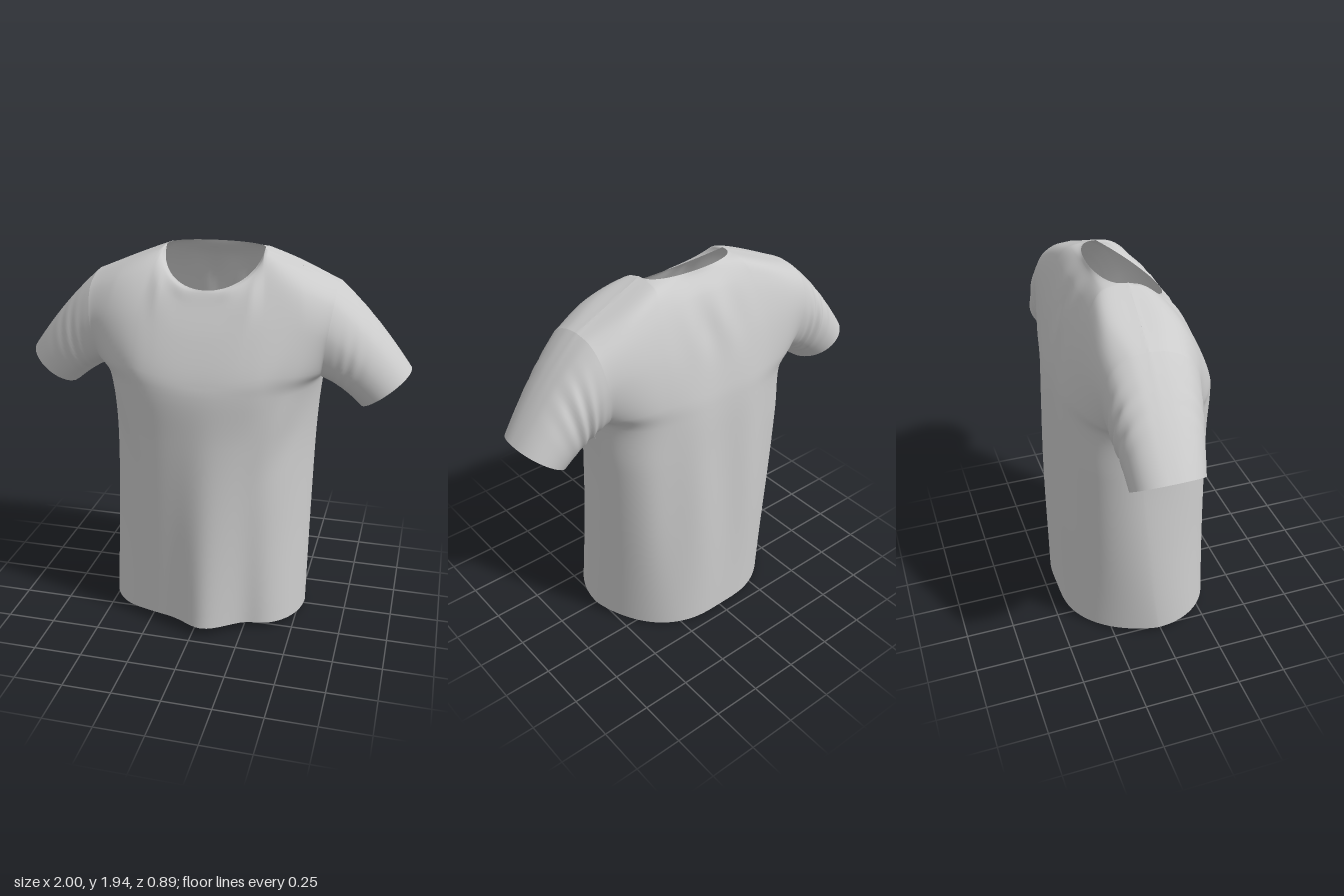
import * as THREE from 'three';
import { mergeGeometries, mergeVertices } from 'three/addons/utils/BufferGeometryUtils.js';

const N = 40;          // columns from centre to side
const STEP = 8;        // rows between two levels
const PIT = 3 * STEP;  // row of the armpit
const TOP = 8 * STEP;  // row of the shoulder seam and neckline
const NECK = 0.4;      // share of the columns that end at the neckline
const lerp = THREE.MathUtils.lerp;
const bump = (x, c, w) => Math.exp(-(((x - c) / w) ** 2));

// piecewise linear lookup in [key, value] pairs
function lookup(table, k) {
  for (let i = 1; i < table.length; i++) {
    const [a, va] = table[i - 1], [b, vb] = table[i];
    if (k <= b) return lerp(va, vb, Math.max(0, (k - a) / (b - a)));
  }
  return table[table.length - 1][1];
}

// depth of the centre line by height
const FRONT = [[0, 0.365], [1.3, 0.36], [1.42, 0.335], [1.6, 0.25], [1.78, 0.15], [1.9, 0.01], [1.95, -0.06]];
const BACK = [[0, -0.44], [0.8, -0.435], [1.3, -0.42], [1.5, -0.4], [1.7, -0.345], [1.85, -0.28], [1.95, -0.2]];
// levels: half width, pull towards the top edge, then [side depth, roundness] of front and back
const LEVELS = [
  { w: 0.53, pull: 0, f: [-0.01, 0.5], b: [-0.01, 0.7] },
  { w: 0.53, pull: 0, f: [-0.08, 0.62], b: [-0.08, 0.54] },
  { w: 0.538, pull: 0, f: [-0.12, 0.64], b: [-0.12, 0.48] },
  { w: 0.56, pull: 0, f: [-0.11, 0.58], b: [-0.11, 0.5] },
  { w: 0.57, pull: 0.1, f: [0.09, 0.75], b: [-0.28, 0.7] },
  { w: 0.59, pull: 0.35, f: [0.135, 0.8], b: [-0.33, 0.75] },
  { w: 0.61, pull: 0.7, f: [0.07, 0.8], b: [-0.29, 0.8] },
  { w: 0.62, pull: 0.92, f: [-0.03, 0.8], b: [-0.215, 0.8] },
];

// end of a column: neckline near the middle, shoulder seam outside it
function topPoint(s, front) {
  if (s < NECK) {
    const a = (s / NECK) * Math.PI / 2, c = Math.cos(a);
    return front
      ? new THREE.Vector3(0.25 * Math.sin(a), 1.94 - 0.165 * c, -0.09 + 0.24 * c)
      : new THREE.Vector3(0.25 * Math.sin(a), 1.94 + 0.005 * c, -0.09 - 0.12 * c ** 0.7);
  }
  const t = (s - NECK) / (1 - NECK);
  return new THREE.Vector3(lerp(0.25, 0.62, t), lerp(1.94, 1.79, t), lerp(-0.09, -0.12, t));
}

// one vertical strip of cloth from hem to top
function column(i, front) {
  const s = Math.abs(i) / N, side = Math.sign(i) || 1;
  const u = Math.sin(s * Math.PI / 2), top = topPoint(s, front);
  const hem = 0.02 + (front ? 0.03 : -0.018) * (1 - u * u);
  const ys = [hem, 0.6, 1.05, 1.3, ...[0.17, 0.55, 0.85, 0.97].map(k => lerp(1.3, top.y, k))];
  const pts = LEVELS.map((l, k) => {
    const [edge, round] = front ? l.f : l.b, mid = lookup(front ? FRONT : BACK, ys[k]);
    const z = lerp(edge, mid, Math.max(0, 1 - u ** 3) ** round);
    return new THREE.Vector3(lerp(u * l.w, top.x, l.pull), ys[k], z);
  });
  const lower = new THREE.CatmullRomCurve3(pts.slice(0, 4));
  const full = new THREE.CatmullRomCurve3([...pts, top]);
  const upper = new THREE.CatmullRomCurve3([...pts.slice(3), top]);
  const out = [];
  for (let j = 0; j <= TOP; j++) {
    // side seam shared by front and back, armhole above it
    const p = s < 1 ? full.getPoint(j / TOP)
      : j <= PIT ? lower.getPoint(j / PIT) : upper.getPoint((j - PIT) / (TOP - PIT));
    p.x *= side;
    p.z += folds(p.x, p.y, front) * (1 - u ** 4);
    out.push(p);
  }
  return out;
}

// soft hanging folds
function folds(x, y, front) {
  const hang = Math.max(0, 1 - y / 1.35);
  const chest = bump(y, 1.15, 0.25);
  if (front) return 0.085 * hang * bump(x, 0.05, 0.13)
    - 0.025 * hang * (bump(x, 0.27, 0.08) + 0.4 * bump(x, -0.3, 0.1))
    + 0.012 * chest * Math.sin((Math.abs(x) - 0.5 * y) * 26) * bump(Math.abs(x), 0.42, 0.1);
  return 0.01 * Math.cos(x * 19 + 0.5) * bump(y, 0.8, 0.55)
    + 0.013 * bump(y, 1.72, 0.12) * Math.sin(x * 30) * bump(x, 0, 0.16);
}

// surface through rows of points
function sheet(rows, flip) {
  const n = rows[0].length, index = [];
  for (let i = 0; i < rows.length - 1; i++) {
    for (let j = 0; j < n - 1; j++) {
      const a = i * n + j, b = a + n, c = b + 1, d = a + 1;
      index.push(...(flip ? [a, c, b, a, d, c] : [a, b, c, a, c, d]));
    }
  }
  const g = new THREE.BufferGeometry().setFromPoints(rows.flat());
  g.setIndex(index);
  return g;
}

function clothMesh(parts, name, material) {
  const g = mergeVertices(mergeGeometries(parts), 1e-4);
  g.computeVertexNormals();
  const mesh = new THREE.Mesh(g, material);
  mesh.name = name;
  return mesh;
}

// sleeve lofted from the armhole to the slanted cuff
function sleeve(side) {
  const front = column(N, true).slice(PIT), back = column(N, false).slice(PIT);
  const ring = [...front, ...back.reverse().slice(1)];
  const rows = ring.map((p, k) => {
    const up = THREE.MathUtils.clamp((p.y - 1.3) / 0.49, 0, 1);
    const facing = k < front.length ? 1 : -1;
    const round = 2 * Math.sqrt(up * (1 - up));
    const cuff = new THREE.Vector3(lerp(0.76, 1, up), lerp(1.18, 1.36, up),
      -0.1 - 0.04 * up + 0.178 * facing * round ** 0.9);
    const ctrl = p.clone().lerp(cuff, 0.45).add(new THREE.Vector3(0.02 * up, 0.03, 0));
    const curve = new THREE.QuadraticBezierCurve3(p, ctrl, cuff);
    const row = [];
    for (let j = 0; j <= 32; j++) {
      const t = j / 32, q = curve.getPoint(t);
      // slanted wrinkles, mostly behind and near the shoulder
      const fade = bump(t, 0.4, 0.25) * Math.sin(Math.PI * t) * round;
      const wave = (facing < 0 ? 0.009 : 0.003) * fade * Math.sin(t * 32 + up * 9);
      q.z += wave * facing;
      q.x *= side;
      row.push(q);
    }
    return row;
  });
  return sheet(rows, side > 0);
}

export function createModel() {
  const group = new THREE.Group();
  group.name = 'shirt';
  const cloth = new THREE.MeshStandardMaterial({ color: 0xcccccc, side: THREE.DoubleSide });
  const panel = front => {
    const rows = [];
    for (let i = -N; i <= N; i++) rows.push(column(i, front));
    return sheet(rows, !front);
  };
  group.add(clothMesh([panel(true), panel(false)], 'body', cloth));
  group.add(clothMesh([sleeve(1)], 'leftSleeve', cloth));
  group.add(clothMesh([sleeve(-1)], 'rightSleeve', cloth));
  return group;
}
